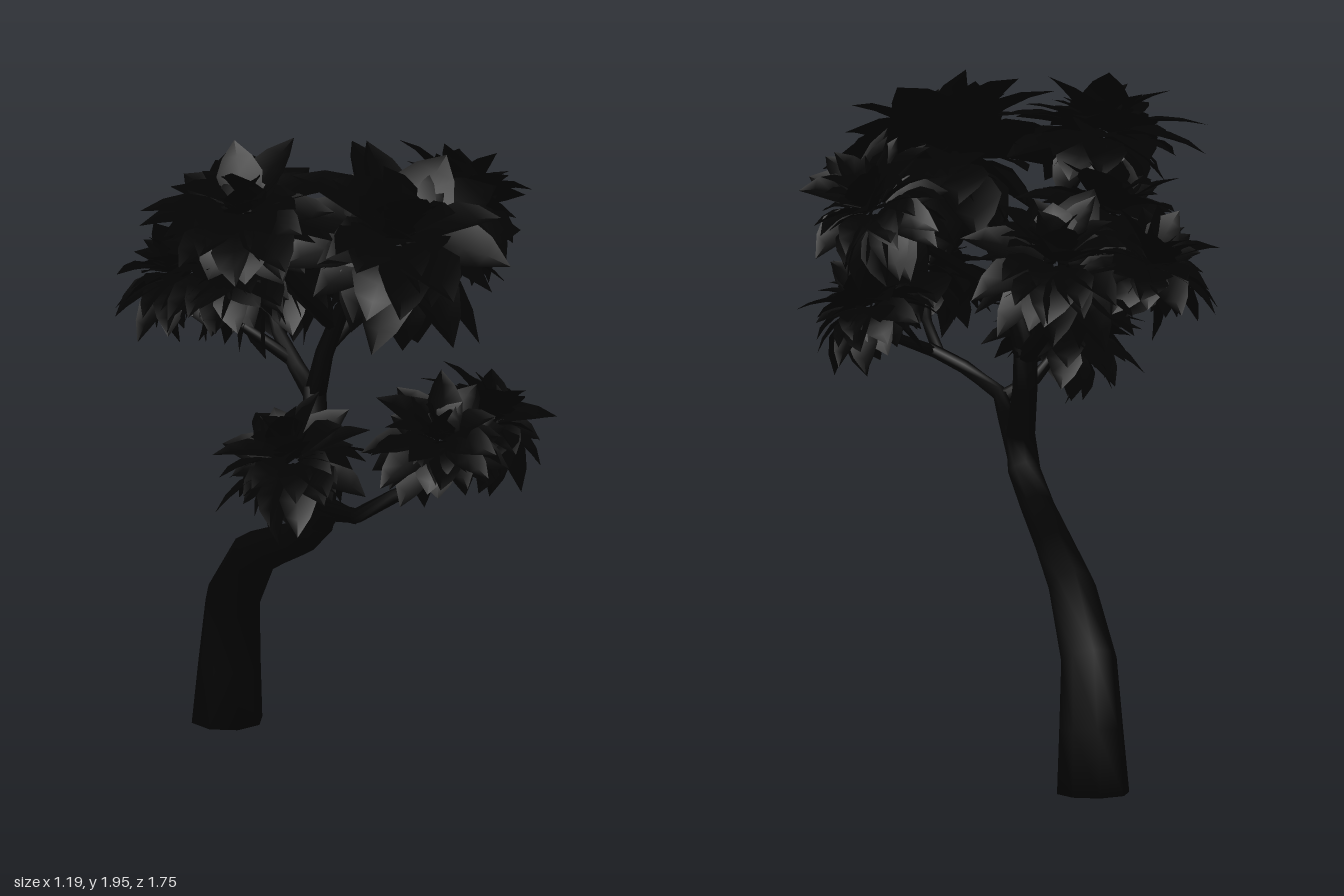
import * as THREE from 'three';
import { mergeGeometries } from 'three/addons/utils/BufferGeometryUtils.js';

const V = (x, y, z) => new THREE.Vector3(x, y, z);
const UP = V(0, 1, 0);
const bark = new THREE.MeshStandardMaterial({ color: 0x030303, side: THREE.DoubleSide });
const foliage = new THREE.MeshStandardMaterial({ color: 0x030303, side: THREE.DoubleSide });

// Small seeded generator for natural variation
function seeded(seed) {
  let s = seed;
  return () => (s = (s * 16807) % 2147483647) / 2147483647;
}

function surface(positions, index) {
  const g = new THREE.BufferGeometry();
  g.setAttribute('position', new THREE.Float32BufferAttribute(positions, 3));
  g.setIndex(index);
  g.computeVertexNormals();
  return g;
}

// Tapered limb through points given as [x, y, z, radius], capped at both ends
function limb(points, sides = 8) {
  const pos = [], idx = [];
  const centres = points.map(p => V(p[0], p[1], p[2]));
  const last = points.length - 1;
  centres.forEach((c, i) => {
    const t = centres[Math.min(i + 1, last)].clone().sub(centres[Math.max(i - 1, 0)]).normalize();
    const q = new THREE.Quaternion().setFromUnitVectors(UP, i === 0 && c.y === 0 ? UP : t);
    for (let k = 0; k < sides; k++) {
      const a = ((k + 0.2) / sides) * Math.PI * 2;
      const v = V(Math.sin(a), 0, Math.cos(a)).multiplyScalar(points[i][3]).applyQuaternion(q).add(c);
      pos.push(v.x, v.y, v.z);
      if (i < last) {
        const p = i * sides + k, r = i * sides + (k + 1) % sides;
        idx.push(p, r, p + sides, r, r + sides, p + sides);
      }
    }
  });
  for (let k = 1; k < sides - 1; k++) {
    idx.push(0, k + 1, k);
    idx.push(last * sides, last * sides + k, last * sides + k + 1);
  }
  return surface(pos, idx);
}

// Pointed leaf along +z, arching downward and folded along its midrib
function leaf(length, width, droop) {
  const pos = [], idx = [];
  const widths = [0.35, 0.85, 1, 0.65, 0];
  let y = 0, z = 0;
  widths.forEach((w, i) => {
    const half = w * width / 2;
    pos.push(-half, y + half * 0.25, z, 0, y, z, half, y + half * 0.25, z);
    const a = droop * (i + 0.5) / 4;
    y -= Math.sin(a) * length / 4;
    z += Math.cos(a) * length / 4;
    if (i < 4) {
      for (const k of [0, 1]) {
        const p = i * 3 + k;
        idx.push(p, p + 3, p + 1, p + 1, p + 3, p + 4);
      }
    }
  });
  return surface(pos, idx);
}

// Dome of leaves in tiers, from upright in the middle to hanging at the rim
function leafCluster(radius, height, seed) {
  const rand = seeded(seed);
  const tiers = [
    [4, 84, 0.75], [7, 62, 0.85], [9, 42, 0.95], [11, 22, 1], [12, 3, 1.02], [11, -18, 0.98], [8, -45, 0.85],
  ];
  const leaves = [];
  for (const [count, pitch, reach] of tiers) {
    for (let k = 0; k < count; k++) {
      const size = radius * reach * (0.74 + rand() * 0.42);
      const g = leaf(size * 0.88, radius * (0.44 + rand() * 0.16), 0.4 + rand() * 0.5);
      g.translate(0, 0, size * 0.17);
      g.rotateZ((rand() - 0.5) * 0.8);
      g.rotateX(-(pitch + (rand() - 0.5) * 20) * Math.PI / 180);
      g.rotateY(((k + rand() * 0.7) / count) * Math.PI * 2 + pitch);
      leaves.push(g);
    }
  }
  const merged = mergeGeometries(leaves);
  merged.scale(1, height / radius, 1);
  merged.computeVertexNormals();
  return merged;
}

export function createModel() {
  const tree = new THREE.Group();
  tree.name = 'leaningTree';

  const add = (parent, name, geometry, material) => {
    const mesh = new THREE.Mesh(geometry, material);
    mesh.name = name;
    parent.add(mesh);
    return mesh;
  };

  // Leaning trunk and its forks
  const wood = new THREE.Group();
  wood.name = 'wood';
  tree.add(wood);
  const limbs = {
    trunk: [
      [-0.215, 0, -0.78, 0.104], [-0.21, 0.18, -0.768, 0.092], [-0.205, 0.375, -0.735, 0.08],
      [-0.165, 0.555, -0.57, 0.068], [-0.125, 0.64, -0.375, 0.057], [-0.085, 0.72, -0.185, 0.05],
      [-0.05, 0.81, -0.055, 0.047], [-0.04, 0.91, -0.045, 0.042], [-0.05, 1.06, -0.115, 0.036],
      [-0.05, 1.18, -0.15, 0.034],
    ],
    lowBranch: [
      [-0.06, 0.785, -0.09, 0.045], [-0.03, 0.87, 0.03, 0.034], [-0.01, 0.915, 0.22, 0.024],
      [0, 0.96, 0.38, 0.022], [0.1, 1.03, 0.43, 0.02], [0.2, 1.08, 0.46, 0.018],
    ],
    lowRightTwig: [[0, 0.95, 0.36, 0.022], [-0.1, 1.0, 0.4, 0.018], [-0.18, 1.1, 0.41, 0.012]],
    lowFrontTwig: [[0.17, 1.065, 0.46, 0.018], [0.2, 1.14, 0.57, 0.015], [0.2, 1.24, 0.64, 0.01]],
    lowLeftTwig: [[0.17, 1.065, 0.46, 0.018], [0.28, 1.11, 0.43, 0.015], [0.37, 1.2, 0.39, 0.01]],
    topBranch: [
      [-0.05, 1.15, -0.145, 0.034], [-0.025, 1.28, -0.13, 0.028], [0.02, 1.42, -0.09, 0.024],
      [0.1, 1.56, -0.01, 0.018], [0.16, 1.64, 0.07, 0.01],
    ],
    topRightTwig: [[0, 1.37, -0.105, 0.022], [-0.12, 1.52, -0.04, 0.018], [-0.27, 1.73, 0.03, 0.01]],
    topLeftTwig: [[-0.02, 1.3, -0.125, 0.022], [0.14, 1.42, -0.23, 0.018], [0.37, 1.58, -0.37, 0.01]],
    backBranch: [
      [-0.05, 1.15, -0.145, 0.03], [-0.09, 1.215, -0.22, 0.025], [-0.13, 1.29, -0.31, 0.02],
      [-0.15, 1.38, -0.38, 0.012],
    ],
    backRightTwig: [[-0.1, 1.23, -0.24, 0.02], [-0.24, 1.32, -0.32, 0.015], [-0.4, 1.42, -0.39, 0.01]],
  };
  for (const [name, points] of Object.entries(limbs)) add(wood, name, limb(points), bark);

  // Leaf clusters: position, radius, height, outward tilt
  const crown = new THREE.Group();
  crown.name = 'crown';
  tree.add(crown);
  const clusters = {
    lowRight: [-0.18, 1.13, 0.39, 0.22, 0.21, -0.3, 0.15],
    lowFront: [0.2, 1.26, 0.67, 0.21, 0.2, 0.05, 0.4],
    lowLeft: [0.37, 1.21, 0.37, 0.2, 0.21, 0.4, 0.05],
    topRight: [-0.27, 1.75, 0.04, 0.28, 0.21, -0.15, 0.15],
    topLeft: [0.15, 1.67, 0.11, 0.32, 0.34, 0.1, 0.4],
    backLeft: [0.38, 1.6, -0.38, 0.22, 0.27, 0.45, -0.25],
    back: [-0.13, 1.44, -0.39, 0.25, 0.26, -0.05, -0.3],
    backRight: [-0.39, 1.44, -0.4, 0.2, 0.21, -0.4, -0.15],
    middle: [-0.29, 1.54, -0.1, 0.24, 0.23, -0.25, 0],
  };
  Object.entries(clusters).forEach(([name, [x, y, z, r, h, tiltX, tiltZ]], i) => {
    const mesh = add(crown, name + 'Leaves', leafCluster(r, h, 101 + i * 977), foliage);
    mesh.position.set(x, y, z);
    mesh.quaternion.setFromUnitVectors(UP, V(tiltX, 1, tiltZ).normalize());
  });

  return tree;
}
